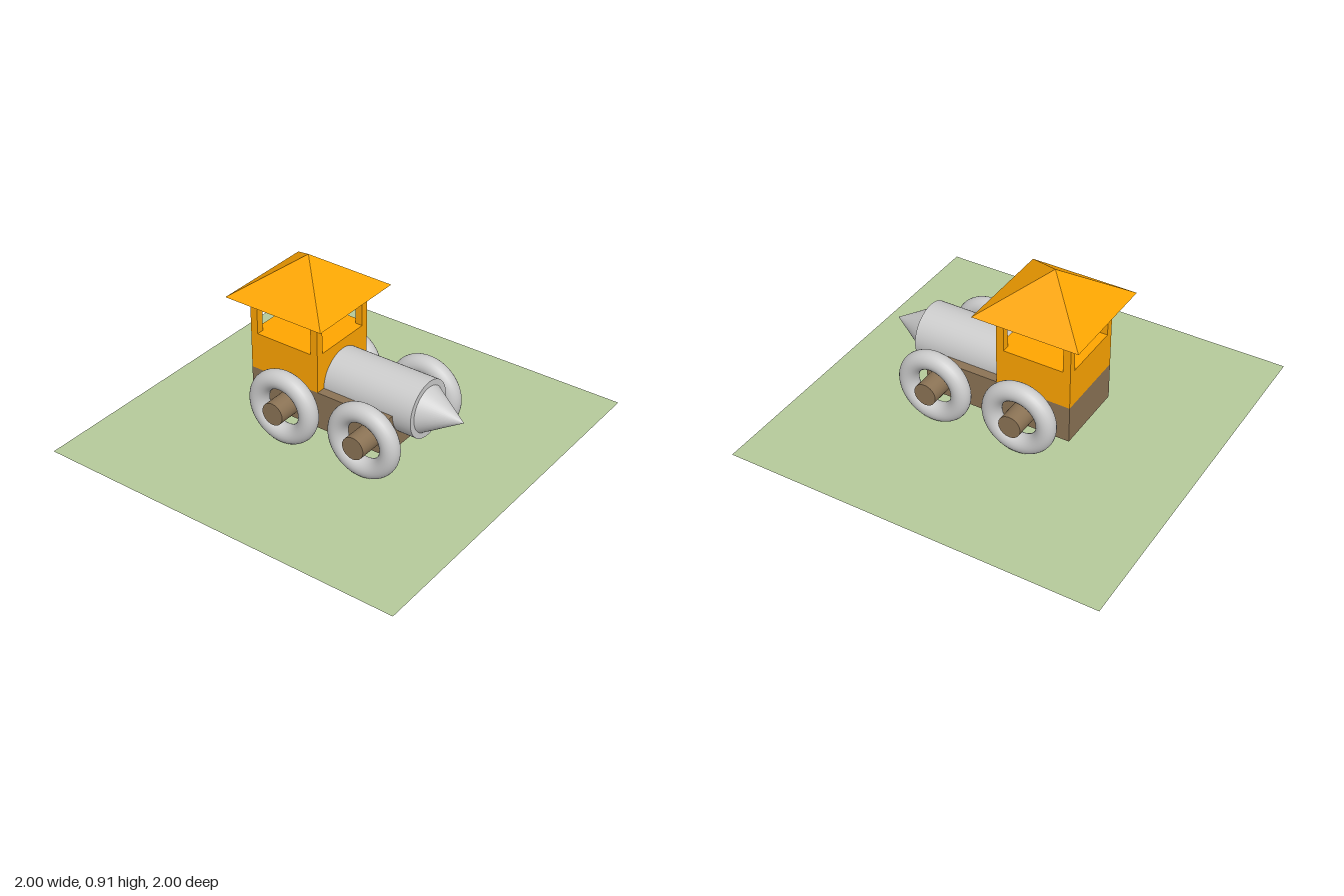
import * as THREE from 'three';

const mat = (color, extra = {}) => new THREE.MeshStandardMaterial({ color, ...extra });

export function createModel() {
  const model = new THREE.Group();
  model.name = 'toyEngine';
  const grey = mat(0xcccccc);
  const brown = mat(0x8b7355);
  const orange = mat(0xffa500);
  const black = mat(0x000000);

  function add(name, geometry, material, x, y, z) {
    const mesh = new THREE.Mesh(geometry, material);
    mesh.name = name;
    mesh.position.set(x, y, z);
    model.add(mesh);
    return mesh;
  }

  // Ground sheet, just above the lowest point of the tyres
  const ground = new THREE.PlaneGeometry(2, 2).rotateX(-Math.PI / 2);
  add('ground', ground, mat(0xb5c99a, { side: THREE.DoubleSide }), 0, 0.004, 0);

  // Chassis
  add('chassis', new THREE.BoxGeometry(0.4, 0.2, 0.8), brown, 0, 0.21, 0);

  // Boiler and pointed nose
  const boiler = new THREE.CylinderGeometry(0.15, 0.15, 0.5, 48).rotateX(Math.PI / 2);
  add('boiler', boiler, grey, 0, 0.31, 0.25);
  const nose = new THREE.ConeGeometry(0.12, 0.2, 48).rotateX(Math.PI / 2);
  add('nose', nose, grey, 0, 0.31, 0.6);

  // Axles, each with a tyre at both ends
  const axle = new THREE.CylinderGeometry(0.06, 0.06, 0.7, 32).rotateZ(Math.PI / 2);
  const tyre = new THREE.TorusGeometry(0.15, 0.05, 24, 64).rotateY(Math.PI / 2);
  for (const [end, z] of [['front', 0.315], ['rear', -0.16]]) {
    add(end + 'Axle', axle, brown, 0, 0.203, z);
    for (const side of [-1, 1]) {
      add(end + (side > 0 ? 'Left' : 'Right') + 'Tyre', tyre, grey, side * 0.26, 0.2, z);
    }
  }

  // Cab body with four corner posts
  add('cabBody', new THREE.BoxGeometry(0.4, 0.2, 0.4), orange, 0, 0.41, -0.2);
  const post = new THREE.BoxGeometry(0.04, 0.2, 0.04);
  for (const sx of [-1, 1]) {
    for (const sz of [-1, 1]) add('cabPost', post, orange, sx * 0.18, 0.61, -0.2 + sz * 0.18);
  }

  // Pyramid roof
  const roof = new THREE.ConeGeometry(0.4, 0.2, 4).rotateY(Math.PI / 4).toNonIndexed();
  roof.computeVertexNormals();
  add('roof', roof, orange, 0, 0.81, -0.2);

  // Small lamp under the roof
  add('lamp', new THREE.SphereGeometry(0.02, 24, 16), black, 0.01, 0.68, -0.21);

  return model;
}
